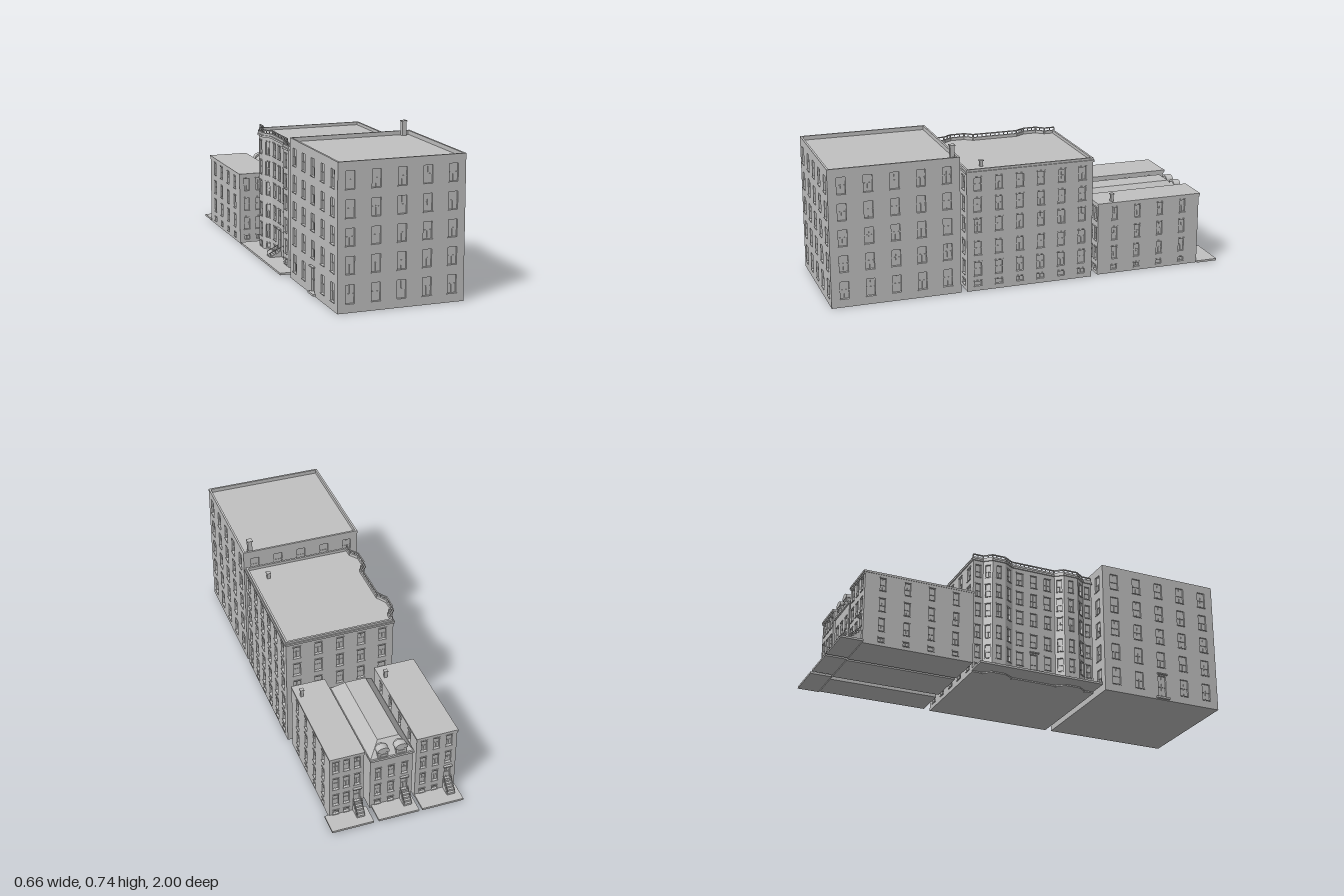
import * as THREE from 'three';
import { mergeGeometries } from 'three/addons/utils/BufferGeometryUtils.js';

const T = 0.01; // wall thickness and window reveal
const stone = new THREE.MeshStandardMaterial({ color: 0xc0c0c0 });
stone.name = 'grey stone';

function mesh(name, geometry, parent) {
  const m = new THREE.Mesh(geometry, stone);
  m.name = name;
  parent.add(m);
  return m;
}

function group(name, parent) {
  const g = new THREE.Group();
  g.name = name;
  parent.add(g);
  return g;
}

// Box from its minimum and maximum corners
function box(x0, x1, y0, y1, z0, z1) {
  return new THREE.BoxGeometry(x1 - x0, y1 - y0, z1 - z0)
    .translate((x0 + x1) / 2, (y0 + y1) / 2, (z0 + z1) / 2);
}

// Evenly spread column offsets
const spread = (n, step) => Array.from({ length: n }, (_, i) => (i - (n - 1) / 2) * step);

// Every combination of column and [bottom, top] row
const grid = (cols, rows, w) => cols.flatMap(x => rows.map(([y0, y1]) => ({ x, y0, y1, w })));

// Wall with window holes; local x runs along it and z points outwards
function facade(name, p, q, height, openings, parent, lintels, cornice) {
  const dx = q[0] - p[0], dz = q[1] - p[1], len = Math.hypot(dx, dz);
  const g = group(name, parent);
  g.position.set((p[0] + q[0]) / 2, 0, (p[1] + q[1]) / 2);
  g.rotation.y = Math.atan2(-dz, dx);

  const rect = (x0, x1, y0, y1) => [[x0, y0], [x1, y0], [x1, y1], [x0, y1]].map(a => new THREE.Vector2(...a));
  const shape = new THREE.Shape(rect(-len / 2, len / 2, 0, height));
  const sash = [], trim = [];
  for (const { x, y0, y1, w, door } of openings) {
    const l = x - w / 2, r = x + w / 2, mid = (y0 + y1) / 2;
    shape.holes.push(new THREE.Path(rect(l, r, y0, y1).reverse()));
    sash.push(box(x - 0.001, x + 0.001, y0, y1, -T, -T + 0.003));
    if (y1 - y0 > 0.03) {
      if (!door) sash.push(box(l, r, mid, y1, -T, -T + 0.002));
      sash.push(box(l, r, mid - 0.002, mid + 0.002, -T, -T + 0.004));
    }
    trim.push(box(l - 0.003, r + 0.003, y0 - 0.004, y0, -0.004, 0.004));
    if (lintels) trim.push(box(l - 0.003, r + 0.003, y1, y1 + 0.006, -0.004, 0.003));
    if (door) trim.push(box(l - 0.006, r + 0.006, y1 + 0.006, y1 + 0.012, -0.004, 0.012));
  }
  if (cornice) trim.push(box(-len / 2 - 0.003, len / 2 + 0.003, cornice, cornice + 0.01, -0.004, 0.006));
  mesh('wall', new THREE.ExtrudeGeometry(shape, { depth: T, bevelEnabled: false }).translate(0, 0, -T), g);
  if (sash.length) mesh('windowSashes', mergeGeometries(sash), g);
  if (trim.length) mesh('sillsAndTrim', mergeGeometries(trim), g);
  return g;
}

// Solid core just inside the walls: forms the window panes and the roof deck
function core(points, height, parent) {
  const n = points.length;
  const normal = i => {
    const p = points[i % n], q = points[(i + 1) % n];
    const l = Math.hypot(q[0] - p[0], q[1] - p[1]);
    return [-(q[1] - p[1]) / l, (q[0] - p[0]) / l];
  };
  const inset = points.map((p, i) => {
    const a = normal(i + n - 1), b = normal(i);
    const k = T / (1 + a[0] * b[0] + a[1] * b[1]);
    return new THREE.Vector2(p[0] - (a[0] + b[0]) * k, -(p[1] - (a[1] + b[1]) * k));
  });
  const geo = new THREE.ExtrudeGeometry(new THREE.Shape(inset), { depth: height, bevelEnabled: false });
  mesh('coreAndRoof', geo.rotateX(-Math.PI / 2), parent);
}

// Steps with two sloping handrails, descending along local z
function stoop(x, w, top, base, depth, parent) {
  const parts = [], n = 5;
  for (let i = 0; i < n; i++) {
    parts.push(box(x - w / 2, x + w / 2, base - 0.004, top - (top - base) * i / n, depth * i / n, depth * (i + 1) / n));
  }
  const drop = top - base;
  for (const s of [-1, 1]) {
    const rx = x + s * (w / 2 - 0.002);
    parts.push(new THREE.BoxGeometry(0.003, 0.003, Math.hypot(drop, depth))
      .rotateX(Math.atan2(drop, depth)).translate(rx, (top + base) / 2 + 0.022, depth / 2));
    for (const f of [0.06, 0.5, 0.95]) {
      const y = top - drop * f;
      parts.push(box(rx - 0.001, rx + 0.001, y - 0.01, y + 0.022, depth * f - 0.001, depth * f + 0.001));
    }
  }
  mesh('stoop', mergeGeometries(parts), parent);
}

function chimney(x, z, w, y0, y1, parent) {
  const h = w / 2, c = h + 0.003;
  mesh('chimney', mergeGeometries([
    box(x - h, x + h, y0, y1 - 0.005, z - h, z + h),
    box(x - c, x + c, y1 - 0.005, y1, z - c, z + c),
  ]), parent);
}

// Corner order: front, left-hand wall last, walking so normals face out
const corners = (x0, x1, z0, z1) => [[x0, z1], [x1, z1], [x1, z0], [x0, z0]];

function tallBlock(parent) {
  const g = group('tallBlock', parent);
  const pts = corners(-0.29, 0.32, 0.36, 0.997);
  const rows = [[0.042, 0.128], [0.176, 0.257], [0.304, 0.384], [0.43, 0.512], [0.558, 0.64]];
  core(pts, 0.662, g);
  ['frontWall', 'leftWall', 'backWall', 'rightWall'].forEach((name, i) => {
    const openings = grid(spread(5, i % 2 ? 0.127 : 0.123), rows, 0.043);
    if (i === 3) Object.assign(openings[10], { y0: 0.014, y1: 0.128, door: true });
    const f = facade(name, pts[i], pts[(i + 1) % 4], 0.682, openings, g);
    if (i === 3) mesh('doorStep', box(-0.035, 0.035, 0.004, 0.014, 0, 0.013), f);
  });
  chimney(0.279, 0.387, 0.022, 0.65, 0.735, g);
}

function bayBlock(parent) {
  const g = group('bayBlock', parent);
  const w = -0.225, b = -0.256;
  const pts = [[w, 0.328], [0.32, 0.328], [0.32, -0.316], [w, -0.316],
    [w, -0.264], [b, -0.227], [b, -0.158], [w, -0.108],
    [w, 0.122], [b, 0.16], [b, 0.237], [w, 0.28]];
  const rows = [[0.025, 0.048], [0.078, 0.145], [0.183, 0.25], [0.298, 0.365], [0.402, 0.47], [0.507, 0.572]];
  core(pts, 0.6, g);
  pts.forEach((p, i) => {
    const q = pts[(i + 1) % pts.length], len = Math.hypot(q[0] - p[0], q[1] - p[1]);
    const cols = i === 1 ? spread(6, 0.107) : i < 3 ? spread(5, 0.109) : i === 7 ? spread(3, 0.075) : [0];
    let openings = grid(cols, rows, i < 3 ? 0.036 : i === 7 ? 0.034 : 0.026);
    // entrance replaces the middle column's lowest two windows
    if (i === 7) {
      openings = openings.filter(o => o.x || o.y0 > 0.1);
      openings.push({ x: 0, y0: 0.045, y1: 0.145, w: 0.036, door: true });
    }
    const f = facade('wall' + (i + 1), p, q, 0.615, openings, g, true, 0.594);
    if (i === 7) stoop(0, 0.05, 0.043, 0.016, 0.06, f);
    // balustrade above the bay-fronted side
    if (i > 2) {
      const n = Math.max(2, Math.round(len / 0.022));
      const parts = [box(-len / 2, len / 2, 0.627, 0.632, -0.008, -0.002)];
      for (let k = 0; k <= n; k++) {
        const x = len * (k / n - 0.5);
        parts.push(box(x - 0.002, x + 0.002, 0.61, 0.628, -0.007, -0.003));
      }
      mesh('balustrade', mergeGeometries(parts), f);
    }
  });
  chimney(0.232, 0.228, 0.016, 0.59, 0.632, g);
  mesh('pavement', box(-0.33, -0.222, 0.006, 0.016, -0.318, 0.325), g);
}

function rowHouse(name, x0, x1, slab, doorX, mansard, parent) {
  const g = group(name, parent);
  const z0 = -0.897, z1 = -0.353, cx = (x0 + x1) / 2, cz = (z0 + z1) / 2;
  const wallTop = mansard ? 0.298 : 0.362;
  const pts = corners(x0, x1, z0, z1);
  const rows = [[0.02, 0.04], [0.075, 0.138], [0.175, 0.24], [0.28, 0.343]].slice(0, mansard ? 3 : 4);
  core(pts, wallTop, g);
  ['frontWall', 'leftWall', 'backWall', 'rightWall'].forEach((wall, i) => {
    let openings = i % 2 ? (mansard ? [] : grid(spread(4, 0.122), rows, 0.028))
      : grid(spread(3, (x1 - x0) * 0.31), rows, 0.028);
    const door = { x: doorX * (x1 - x0) * 0.31, y0: 0.07, y1: 0.142, w: 0.03, door: true };
    if (i === 2) {
      openings = openings.filter(o => Math.abs(o.x - door.x) > 0.01 || o.y0 > 0.1);
      openings.push(door);
    }
    const f = facade(wall, pts[i], pts[(i + 1) % 4], wallTop, openings, g, true);
    if (i === 2) stoop(door.x, 0.04, 0.066, 0.016, 0.058, f);
  });
  mesh('pavement', box(slab[0], slab[1], 0.006, 0.016, -1, z0 + 0.004), g);

  if (!mansard) {
    mesh('roofSlab', box(x0 - 0.002, x1 + 0.002, 0.36, 0.37, z0 - 0.007, z1 + 0.002), g);
    mesh('cornice', box(x0, x1, 0.352, 0.36, z0 - 0.004, z0), g);
    chimney(x1 - 0.025, -0.433, 0.014, 0.365, 0.41, g);
    return;
  }
  mesh('cornice', box(x0 - 0.003, x1 + 0.003, 0.294, 0.306, z0 - 0.008, z1 + 0.004), g);
  // mansard roof: a box whose top is drawn in
  const roof = new THREE.BoxGeometry(x1 - x0, 0.064, z1 - z0);
  const pos = roof.attributes.position;
  for (let i = 0; i < pos.count; i++) {
    if (pos.getY(i) < 0) continue;
    pos.setX(i, pos.getX(i) - Math.sign(pos.getX(i)) * 0.053);
    pos.setZ(i, pos.getZ(i) - Math.sign(pos.getZ(i)) * 0.055);
  }
  roof.computeVertexNormals();
  mesh('mansardRoof', roof.translate(cx, 0.338, cz), g);
  // round-topped dormers
  const arch = (r, h, depth) => {
    const s = new THREE.Shape();
    s.moveTo(-r, 0);
    s.lineTo(r, 0);
    s.lineTo(r, h);
    s.absellipse(0, h, r, r * 0.65, 0, Math.PI, false);
    return new THREE.ExtrudeGeometry(s, { depth, bevelEnabled: false, curveSegments: 8 });
  };
  for (const x of [-0.045, 0.045]) {
    const d = group('dormer', g);
    d.position.set(cx + x, 0.306, z0 - 0.002);
    mesh('dormerBody', arch(0.025, 0.035, 0.05), d);
    mesh('dormerHood', arch(0.029, 0.008, 0.036).translate(0, 0.034, -0.006), d);
    mesh('dormerWindow', mergeGeometries([
      box(-0.014, 0.014, 0.006, 0.034, -0.002, 0.001),
      box(-0.014, 0.014, 0.019, 0.022, -0.004, 0),
      box(-0.017, 0.017, 0.003, 0.006, -0.005, 0),
    ]), d);
  }
}

export function createModel() {
  const model = new THREE.Group();
  model.name = 'cityBlock';
  tallBlock(model);
  bayBlock(model);
  rowHouse('rowHouseRight', -0.322, -0.119, [-0.328, -0.119], 1, false, model);
  rowHouse('rowHouseMiddle', -0.103, 0.108, [-0.103, 0.1], 1, true, model);
  rowHouse('rowHouseLeft', 0.14, 0.308, [0.124, 0.33], 1, false, model);
  return model;
}
